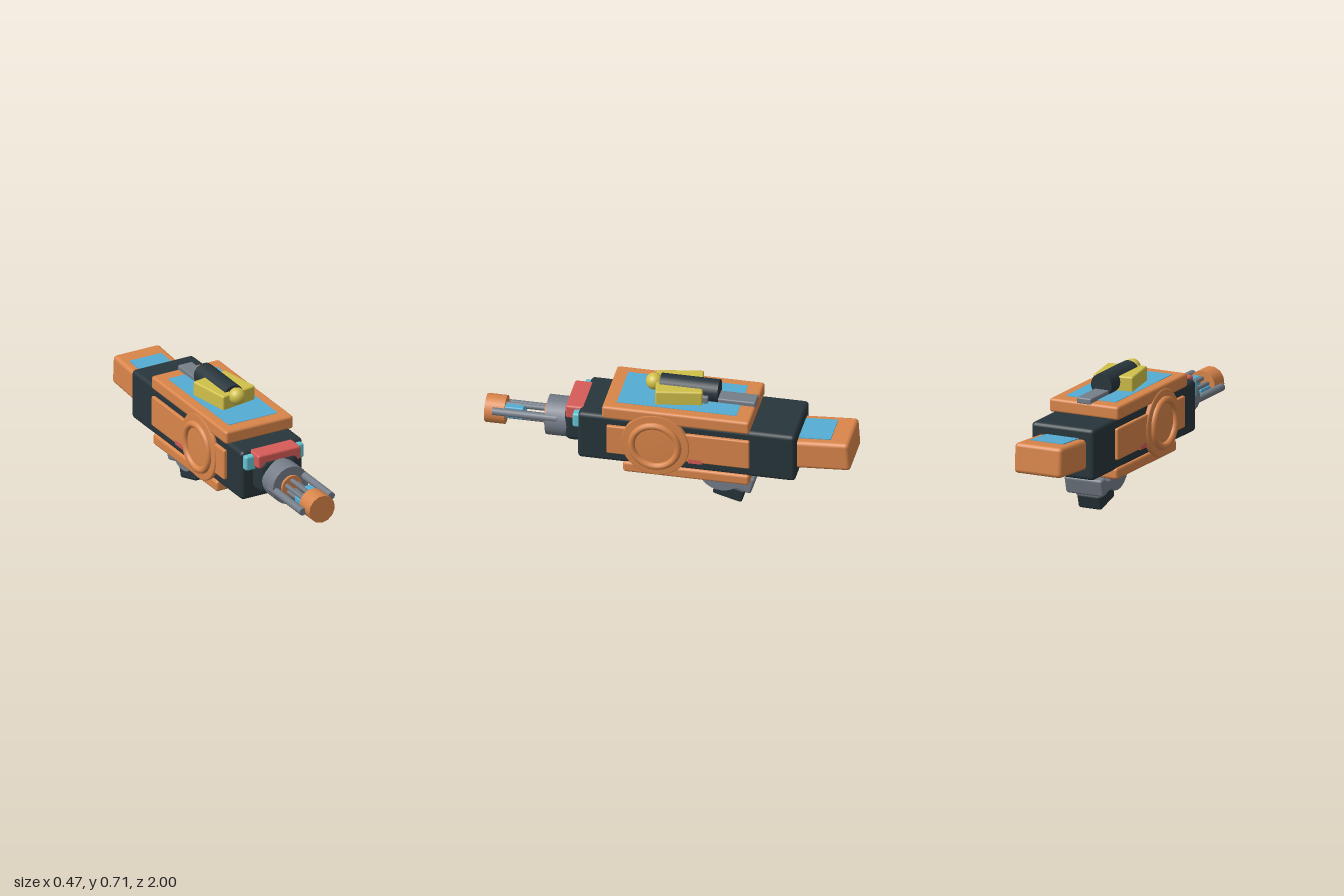
import * as THREE from 'three';
import { RoundedBoxGeometry } from 'three/addons/geometries/RoundedBoxGeometry.js';

export function createModel() {
  const root = new THREE.Group();
  root.name = 'toyBlaster';
  const mat = (name, color) => Object.assign(new THREE.MeshStandardMaterial({ color }), { name });
  const orange = mat('orange', 0xd9854a);
  const dark = mat('darkSlate', 0x27353b);
  const gray = mat('gray', 0x757d88);
  const blue = mat('blue', 0x54acd3);
  const cyan = mat('cyan', 0x62c4d0);
  const red = mat('red', 0xd65c58);
  const yellow = mat('yellow', 0xd0c04a);

  function add(name, geo, material, x, y, z, parent = root) {
    const m = new THREE.Mesh(geo, material);
    m.name = name;
    m.position.set(x, y, z);
    parent.add(m);
    return m;
  }
  // Rounded block given by its width, height, depth and centre
  function block(name, material, w, h, d, x, y, z, r = 0.015, parent = root) {
    return add(name, new RoundedBoxGeometry(w, h, d, 2, r), material, x, y, z, parent);
  }
  // Cylinder lying along z from z0 to z1
  function rod(name, material, r, z0, z1, x, y, segs = 16, parent = root) {
    const g = new THREE.CylinderGeometry(r, r, z1 - z0, segs).rotateX(Math.PI / 2);
    return add(name, g, material, x, y, (z0 + z1) / 2, parent);
  }

  // Main housing and its shells
  block('body', dark, 0.376, 0.282, 1.18, 0, 0.389, -0.12, 0.022);
  block('frontNeck', dark, 0.236, 0.2, 0.16, 0, 0.395, 0.48, 0.04);
  block('topPlate', orange, 0.414, 0.076, 0.8, 0, 0.562, -0.065, 0.015);
  add('topInlay', new THREE.BoxGeometry(0.3, 0.004, 0.65), blue, 0, 0.6, -0.06);
  block('bottomPlate', orange, 0.4, 0.062, 0.685, 0, 0.229, -0.12, 0.015);
  block('frontHood', red, 0.262, 0.078, 0.215, 0, 0.49, 0.44, 0.012);

  // Side panels, round hubs and front lamps
  for (const s of [1, -1]) {
    const side = s > 0 ? 'left' : 'right';
    block(side + 'Panel', orange, 0.03, 0.172, 0.775, s * 0.191, 0.394, -0.077, 0.008);
    add(side + 'Mark', new THREE.BoxGeometry(0.008, 0.025, 0.075), red, s * 0.2025, 0.316, -0.17);
    const profile = [[0, 0], [0.178, 0], [0.185, 0.008], [0.185, 0.022], [0.178, 0.03], [0, 0.03]]
      .map(([r, h]) => new THREE.Vector2(r, h));
    const hub = new THREE.Group();
    hub.name = side + 'Hub';
    hub.position.set(s * 0.184, 0.395, 0.045);
    hub.rotation.z = -s * Math.PI / 2;
    root.add(hub);
    add(side + 'HubDisc', new THREE.LatheGeometry(profile, 48), orange, 0, 0, 0, hub);
    add(side + 'HubRing', new THREE.TorusGeometry(0.126, 0.019, 12, 48).rotateX(Math.PI / 2),
      orange, 0, 0.033, 0, hub);
    block(side + 'Lamp', cyan, 0.064, 0.084, 0.06, s * 0.146, 0.472, 0.47, 0.012);
  }

  // Barrel: collar, rod cluster, energy cells and muzzle
  const by = 0.378;
  rod('barrelCollar', gray, 0.108, 0.53, 0.665, 0, by, 24);
  rod('barrelSeat', orange, 0.06, 0.66, 0.68, 0, by, 16);
  for (let i = 0; i < 5; i++) {
    const a = Math.PI / 2 + i * Math.PI * 2 / 5;
    rod('innerRod', gray, 0.013, 0.66, 0.9, 0.034 * Math.cos(a), by + 0.034 * Math.sin(a), 10);
  }
  rod('outerRodLeft', gray, 0.021, 0.6, 0.95, 0.086, 0.413);
  rod('outerRodRight', gray, 0.021, 0.6, 0.95, -0.088, 0.361);
  block('energyCellLeft', blue, 0.042, 0.07, 0.11, 0.031, 0.39, 0.845, 0.008);
  block('energyCellRight', blue, 0.042, 0.06, 0.11, -0.029, 0.35, 0.845, 0.008);
  rod('muzzle', orange, 0.078, 0.892, 1, 0, 0.376, 13);

  // Rear stock, slightly raised toward the end
  const stock = new THREE.Group();
  stock.name = 'stock';
  stock.position.set(0, 0.395, -0.83);
  stock.rotation.x = 0.065;
  root.add(stock);
  block('stockBlock', orange, 0.284, 0.165, 0.33, 0, 0, 0, 0.022, stock);
  add('stockInlay', new THREE.BoxGeometry(0.195, 0.009, 0.22), blue, 0, 0.083, 0.05, stock);

  // Sight on top
  block('sightBase', yellow, 0.222, 0.088, 0.252, 0, 0.637, -0.045, 0.01).rotation.y = 0.17;
  block('sightRail', gray, 0.088, 0.034, 0.28, 0, 0.608, -0.325, 0.008);
  block('sightKnob', gray, 0.025, 0.04, 0.06, 0.07, 0.63, -0.185, 0.006);
  rod('sightTube', dark, 0.062, -0.262, 0.055, 0, 0.648, 24);
  add('sightBead', new THREE.SphereGeometry(0.046, 24, 16), yellow, 0, 0.664, 0.092);

  // Grip underneath: round pivot, brackets and tilted handle
  add('gripPivot', new THREE.CylinderGeometry(0.125, 0.125, 0.23, 28).rotateZ(Math.PI / 2),
    gray, 0, 0.22, -0.295);
  add('pivotGuard', new THREE.SphereGeometry(1, 20, 12), dark, 0, 0.2, -0.12).scale.set(0.085, 0.017, 0.08);
  const grip = new THREE.Group();
  grip.name = 'grip';
  grip.position.set(0, 0.06, -0.325);
  grip.rotation.x = -0.27;
  root.add(grip);
  block('handle', dark, 0.14, 0.085, 0.165, 0, 0, 0, 0.014, grip);
  block('handleCollar', gray, 0.154, 0.06, 0.135, 0, 0.06, -0.012, 0.01, grip);
  block('gripBack', gray, 0.228, 0.1, 0.1, 0, 0.11, -0.065, 0.014, grip);
  block('gripBracket', gray, 0.294, 0.034, 0.13, 0, 0.187, -0.37, 0.01);
  block('triggerBar', gray, 0.125, 0.04, 0.06, 0, 0.166, -0.185, 0.014);
  return root;
}
